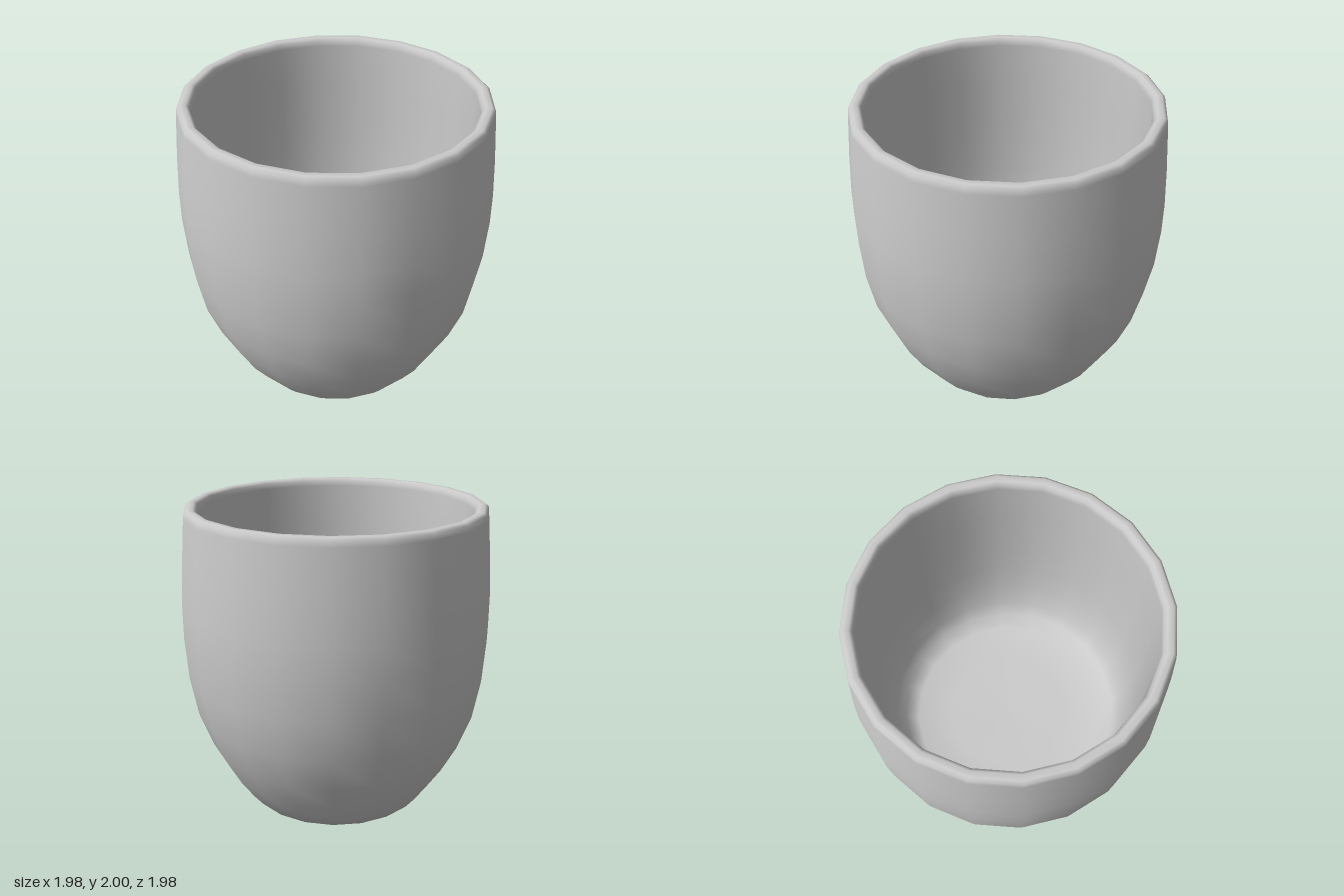
import * as THREE from 'three';

export function createModel() {
  const model = new THREE.Group();
  model.name = 'cup';
  const material = new THREE.MeshStandardMaterial({ color: 0xcccccc });

  // Closed wall profile as [radius, height], from the base centre to the inner floor
  const profile = [
    // base
    [0, 0], [0.25, 0.006], [0.46, 0.015], [0.585, 0.04],
    // outer wall
    [0.65, 0.12], [0.74, 0.25], [0.84, 0.44], [0.925, 0.67], [0.972, 0.93],
    [0.99, 1.2], [0.989, 1.4], [0.975, 1.65], [0.95, 1.95],
    // rounded rim
    [0.945, 1.985], [0.925, 2], [0.89, 2], [0.872, 1.985], [0.865, 1.95],
    // inner wall
    [0.864, 1.65], [0.863, 1.4], [0.861, 1.2], [0.855, 0.95], [0.84, 0.72],
    [0.8, 0.52], [0.75, 0.41],
    // slightly dished inner floor
    [0.66, 0.35], [0.42, 0.335], [0, 0.325],
  ].map(([r, y]) => new THREE.Vector2(r, y));

  const body = new THREE.Mesh(new THREE.LatheGeometry(profile, 20), material);
  body.name = 'cupBody';
  model.add(body);
  return model;
}
